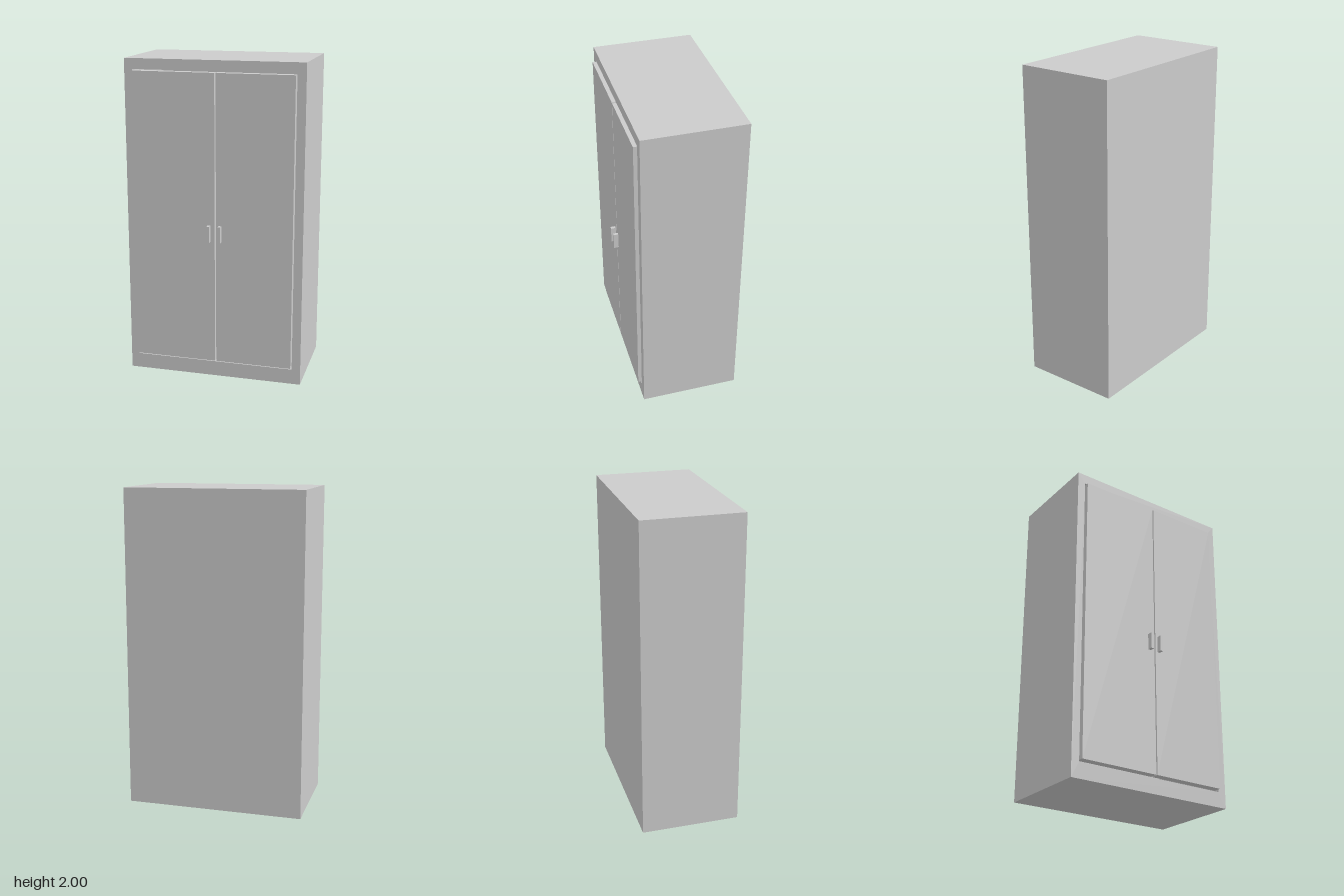
import * as THREE from 'three';

const material = new THREE.MeshStandardMaterial({ color: 0xcccccc, flatShading: true });

// Box given by its lower and upper corners
function addBox(parent, name, [x0, y0, z0], [x1, y1, z1]) {
  const geometry = new THREE.BoxGeometry(x1 - x0, y1 - y0, z1 - z0);
  const mesh = new THREE.Mesh(geometry, material);
  mesh.position.set((x0 + x1) / 2, (y0 + y1) / 2, (z0 + z1) / 2);
  mesh.name = name;
  parent.add(mesh);
}

// Counter-clockwise corners of a rectangle
function rectangle(x0, y0, x1, y1) {
  return [[x0, y0], [x1, y0], [x1, y1], [x0, y1]].map(([x, y]) => new THREE.Vector2(x, y));
}

export function createModel() {
  const group = new THREE.Group();
  group.name = 'wardrobe';

  const halfWidth = 0.556, back = -0.338, front = 0.283, panel = 0.04;

  // Carcass: side walls, top and plinth around the door opening
  const outline = new THREE.Shape(rectangle(-halfWidth, 0, halfWidth, 2));
  outline.holes.push(new THREE.Path(rectangle(-0.505, 0.096, 0.502, 1.935).reverse()));
  const carcass = new THREE.Mesh(
    new THREE.ExtrudeGeometry(outline, { depth: front - back - panel, bevelEnabled: false }),
    material
  );
  carcass.position.z = back + panel;
  carcass.name = 'carcass';
  group.add(carcass);

  addBox(group, 'backPanel', [-halfWidth, 0, back], [halfWidth, 2, back + panel]);

  // Doors set in the opening, standing slightly proud of the frame
  addBox(group, 'rightDoor', [-0.499, 0.11, 0.255], [0.012, 1.928, 0.305]);
  addBox(group, 'leftDoor', [0.02, 0.11, 0.255], [0.497, 1.928, 0.305]);

  // Upright handles either side of the gap
  addBox(group, 'rightHandle', [-0.035, 0.897, 0.305], [-0.015, 1.0, 0.336]);
  addBox(group, 'leftHandle', [0.036, 0.897, 0.305], [0.054, 1.0, 0.336]);

  return group;
}
